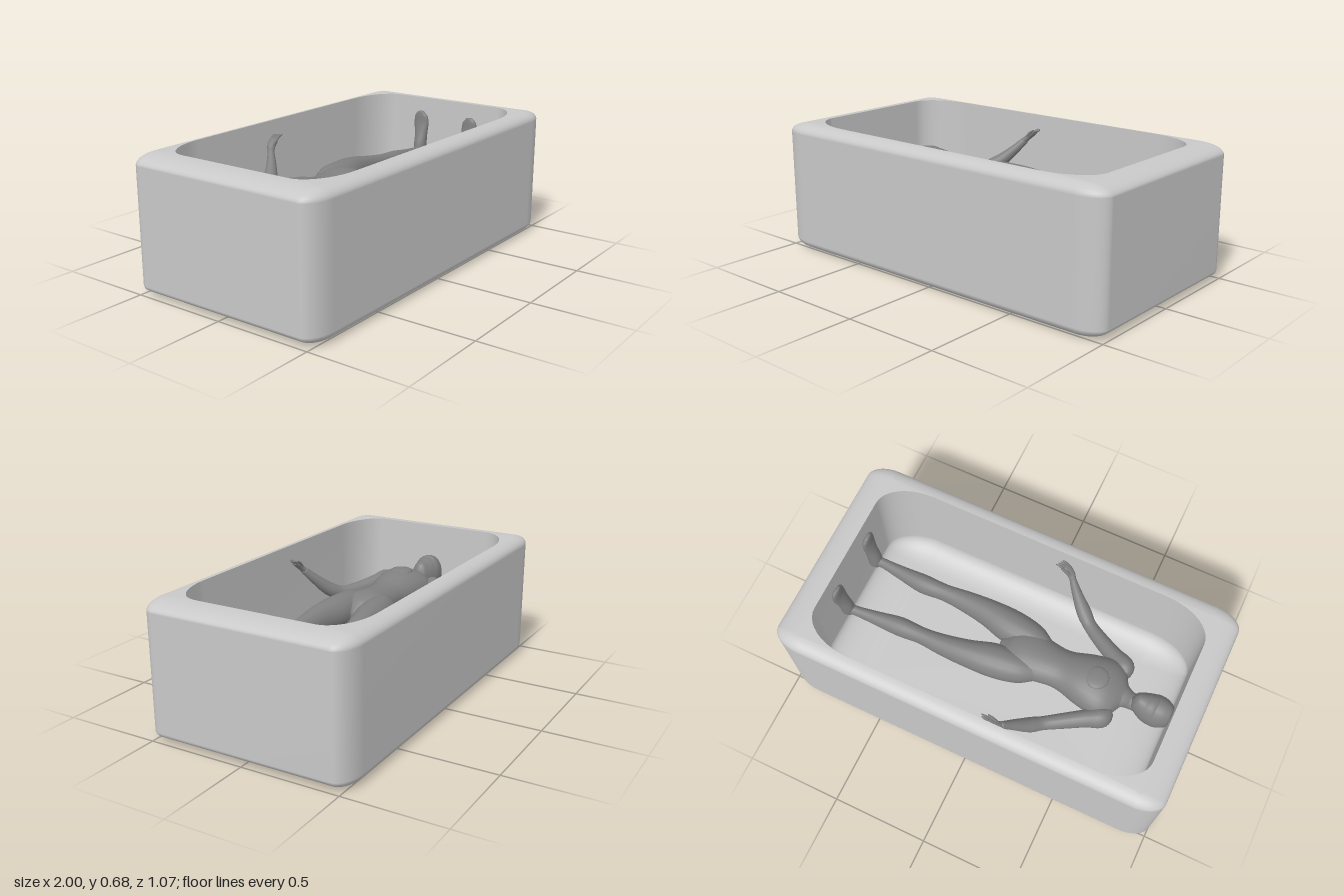
import * as THREE from 'three';

const tubGrey = new THREE.MeshStandardMaterial({ name: 'tubGrey', color: 0xc8c8c8 });
const bodyGrey = new THREE.MeshStandardMaterial({ name: 'bodyGrey', color: 0x808080 });

// Skin a list of rings that all have the same number of points
function skin(rings) {
  const n = rings[0].length, pos = [], index = [];
  rings.forEach(r => r.forEach(p => pos.push(p.x, p.y, p.z)));
  for (let i = 0; i < rings.length - 1; i++) {
    for (let j = 0; j < n; j++) {
      const a = i * n + j, b = i * n + (j + 1) % n;
      index.push(a, a + n, b, b, a + n, b + n);
    }
  }
  const g = new THREE.BufferGeometry();
  g.setAttribute('position', new THREE.Float32BufferAttribute(pos, 3));
  g.setIndex(index);
  g.computeVertexNormals();
  return g;
}

// Horizontal rounded rectangle with elliptical corners
function roundedRing(hx, hz, rx, rz, y) {
  const pts = [], n = 10;
  [[1, 1], [-1, 1], [-1, -1], [1, -1]].forEach(([sx, sz], q) => {
    for (let k = 0; k <= n; k++) {
      const a = (q + k / n) * Math.PI / 2;
      pts.push(new THREE.Vector3(sx * (hx - rx) + rx * Math.cos(a), y, sz * (hz - rz) + rz * Math.sin(a)));
    }
  });
  return pts;
}

// Smooth limb through stations [x, y, z, side radius, depth radius]
function limb(stations, up = new THREE.Vector3(0, 1, 0), steps = 28, sides = 20) {
  const path = new THREE.CatmullRomCurve3(stations.map(s => new THREE.Vector3(s[0], s[1], s[2])));
  const size = new THREE.CatmullRomCurve3(stations.map((s, i) => new THREE.Vector3(s[3], s[4], i * 0.1)));
  const rings = [];
  for (let i = 0; i <= steps; i++) {
    const c = path.getPoint(i / steps), r = size.getPoint(i / steps);
    const t = path.getTangent(i / steps);
    const side = t.clone().cross(up).normalize(), top = side.clone().cross(t);
    const ring = [];
    for (let j = 0; j < sides; j++) {
      const a = j / sides * Math.PI * 2;
      ring.push(c.clone().addScaledVector(side, r.x * Math.cos(a)).addScaledVector(top, r.y * Math.sin(a)));
    }
    if (i === 0) rings.push(ring.map(() => c.clone()));
    rings.push(ring);
    if (i === steps) rings.push(ring.map(() => c.clone()));
  }
  return skin(rings);
}

export function createModel() {
  const model = new THREE.Group();
  const add = (parent, name, geometry, material) => {
    const m = new THREE.Mesh(geometry, material);
    m.name = name;
    parent.add(m);
    return m;
  };

  // Tub: rounded outer shell rolling over to the rim
  const tub = new THREE.Group();
  tub.name = 'tub';
  model.add(tub);
  const H = 0.675, R = { x: 0.14, y: 0.05, z: 0.08 }, core = { x: 0.86, z: 0.455 };
  const shellRing = (deg, y0) => {
    const c = Math.cos(deg * Math.PI / 180), s = Math.sin(deg * Math.PI / 180);
    return roundedRing(core.x + R.x * c, core.z + R.z * c, R.x * c, R.z * c, y0 + R.y * s);
  };
  const shell = [roundedRing(0, 0, 0, 0, 0)];
  for (let d = -90; d <= 0; d += 10) shell.push(shellRing(d, R.y));
  for (let d = 0; d <= 80; d += 10) shell.push(shellRing(d, H - R.y));
  const IN = { x: 0.872, z: 0.462, rx: 0.25, rz: 0.15 };
  shell.push(roundedRing(IN.x, IN.z, IN.rx, IN.rz, H));
  add(tub, 'outerShell', skin(shell), tubGrey);

  // Hollow with a rounded bottom edge
  const floor = 0.1, fillet = 0.09;
  const hollow = [roundedRing(IN.x, IN.z, IN.rx, IN.rz, H)];
  for (let d = 0; d <= 90; d += 10) {
    const c = Math.cos(d * Math.PI / 180), s = Math.sin(d * Math.PI / 180);
    hollow.push(roundedRing(IN.x - IN.rx * (1 - c), IN.z - IN.rz * (1 - c), IN.rx * c, IN.rz * c, floor + fillet * (1 - s)));
  }
  hollow.push(roundedRing(0, 0, 0, 0, floor));
  add(tub, 'hollow', skin(hollow), tubGrey);

  // Floating figure, face up, head towards -x
  const figure = new THREE.Group();
  figure.name = 'figure';
  model.add(figure);
  add(figure, 'torso', limb([
    [-0.63, 0.41, 0, 0.05, 0.05], [-0.59, 0.41, 0, 0.12, 0.075], [-0.52, 0.415, 0, 0.15, 0.1],
    [-0.42, 0.415, 0, 0.135, 0.105], [-0.3, 0.41, 0, 0.103, 0.085], [-0.2, 0.41, 0, 0.112, 0.082],
    [-0.1, 0.41, 0, 0.135, 0.088], [-0.02, 0.4, 0, 0.1, 0.075], [0.04, 0.4, 0, 0.02, 0.03],
  ], undefined, 40, 28), bodyGrey);
  add(figure, 'neck', limb([
    [-0.73, 0.4, 0, 0.045, 0.05], [-0.66, 0.4, 0, 0.043, 0.047], [-0.62, 0.41, 0, 0.062, 0.055], [-0.57, 0.41, 0, 0.1, 0.07],
  ]), bodyGrey);
  add(figure, 'head', limb([
    [-0.88, 0.41, 0, 0.025, 0.04], [-0.865, 0.41, 0, 0.052, 0.082], [-0.82, 0.412, 0, 0.074, 0.102], [-0.77, 0.415, 0, 0.075, 0.104],
    [-0.72, 0.435, 0, 0.058, 0.08], [-0.685, 0.455, 0, 0.036, 0.05], [-0.672, 0.46, 0, 0.01, 0.02],
  ], undefined, 32, 28), bodyGrey);
  const disc = add(figure, 'chestDisc', new THREE.SphereGeometry(1, 28, 12), bodyGrey);
  disc.scale.set(0.058, 0.014, 0.058);
  disc.position.set(-0.475, 0.513, 0);

  // Limbs, mirrored across the body
  for (const s of [1, -1]) {
    const name = s > 0 ? 'front' : 'back';
    add(figure, name + 'Leg', limb([
      [-0.2, 0.41, 0.06 * s, 0.04, 0.05], [-0.1, 0.41, 0.085 * s, 0.075, 0.08], [0.03, 0.405, 0.1 * s, 0.086, 0.088],
      [0.16, 0.4, 0.12 * s, 0.069, 0.08], [0.3, 0.39, 0.13 * s, 0.053, 0.065], [0.42, 0.385, 0.13 * s, 0.042, 0.053],
      [0.54, 0.375, 0.13 * s, 0.048, 0.057], [0.66, 0.37, 0.138 * s, 0.036, 0.045],
      [0.78, 0.37, 0.147 * s, 0.025, 0.032], [0.85, 0.37, 0.15 * s, 0.028, 0.034],
    ], undefined, 36), bodyGrey);
    add(figure, name + 'Foot', limb([
      [0.835, 0.325, 0.148 * s, 0.012, 0.015], [0.833, 0.345, 0.148 * s, 0.033, 0.036], [0.833, 0.4, 0.15 * s, 0.035, 0.038],
      [0.845, 0.47, 0.153 * s, 0.038, 0.028], [0.853, 0.53, 0.157 * s, 0.046, 0.02],
      [0.853, 0.575, 0.158 * s, 0.04, 0.016], [0.85, 0.598, 0.156 * s, 0.018, 0.01],
    ], new THREE.Vector3(1, 0, 0)), bodyGrey);
    add(figure, name + 'Arm', limb([
      [-0.595, 0.41, 0.1 * s, 0.025, 0.04], [-0.57, 0.41, 0.14 * s, 0.05, 0.062], [-0.5, 0.4, 0.178 * s, 0.043, 0.052],
      [-0.4, 0.385, 0.235 * s, 0.038, 0.043], [-0.32, 0.385, 0.285 * s, 0.034, 0.036], [-0.27, 0.41, 0.325 * s, 0.037, 0.037],
      [-0.2, 0.48, 0.38 * s, 0.025, 0.026], [-0.155, 0.535, 0.42 * s, 0.016, 0.019],
    ], undefined, 36), bodyGrey);
    add(figure, name + 'Palm', limb([
      [-0.165, 0.525, 0.412 * s, 0.015, 0.017], [-0.14, 0.552, 0.43 * s, 0.022, 0.015],
      [-0.115, 0.573, 0.438 * s, 0.025, 0.013], [-0.1, 0.582, 0.44 * s, 0.02, 0.009],
    ], undefined, 12, 14), bodyGrey);
    // Fingers and thumb
    for (let f = 0; f < 4; f++) {
      const z = (0.424 + f * 0.0105) * s, reach = 0.048 - f * 0.007;
      add(figure, name + 'Finger', limb([
        [-0.115, 0.573, z, 0.007, 0.008], [-0.115 + reach * 0.6, 0.592, z, 0.006, 0.007],
        [-0.11 + reach, 0.598, z, 0.003, 0.003],
      ], undefined, 8, 8), bodyGrey);
    }
    add(figure, name + 'Thumb', limb([
      [-0.15, 0.545, 0.42 * s, 0.008, 0.01], [-0.12, 0.578, 0.416 * s, 0.008, 0.009], [-0.095, 0.598, 0.414 * s, 0.004, 0.004],
    ], undefined, 8, 8), bodyGrey);
  }
  return model;
}
